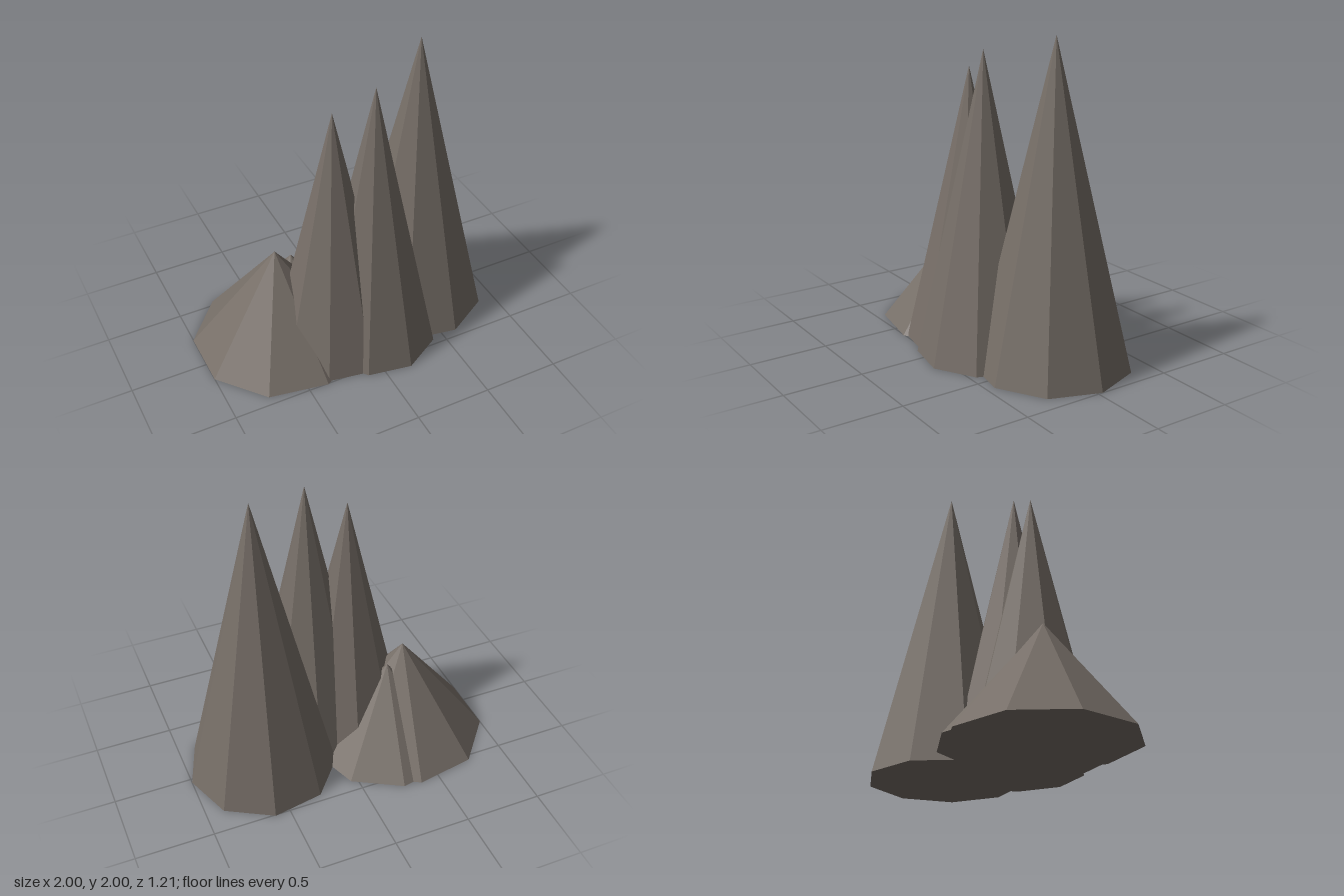
import * as THREE from 'three';

export function createModel() {
  const group = new THREE.Group();
  group.name = 'rockSpires';

  const rock = new THREE.MeshStandardMaterial({ color: 0x766e67 });
  rock.name = 'greyBrownRock';
  rock.flatShading = true;

  // Nine-sided closed cone standing on the ground, one corner pointing to +x
  function addSpire(name, x, z, radius, height) {
    const geometry = new THREE.ConeGeometry(radius, height, 9, 1, false, Math.PI / 2);
    const spire = new THREE.Mesh(geometry, rock);
    spire.name = name;
    spire.position.set(x, height / 2, z);
    group.add(spire);
  }

  // Tall spires
  addSpire('tallSpire', 0.515, -0.03, 0.485, 2);
  addSpire('frontSpire', 0.1, 0.19, 0.42, 1.89);
  addSpire('middleSpire', -0.15, 0.13, 0.41, 1.755);

  // Low mounds
  addSpire('lowMound', -0.47, -0.05, 0.565, 0.715);
  addSpire('smallMound', -0.345, -0.09, 0.51, 0.61);

  return group;
}
